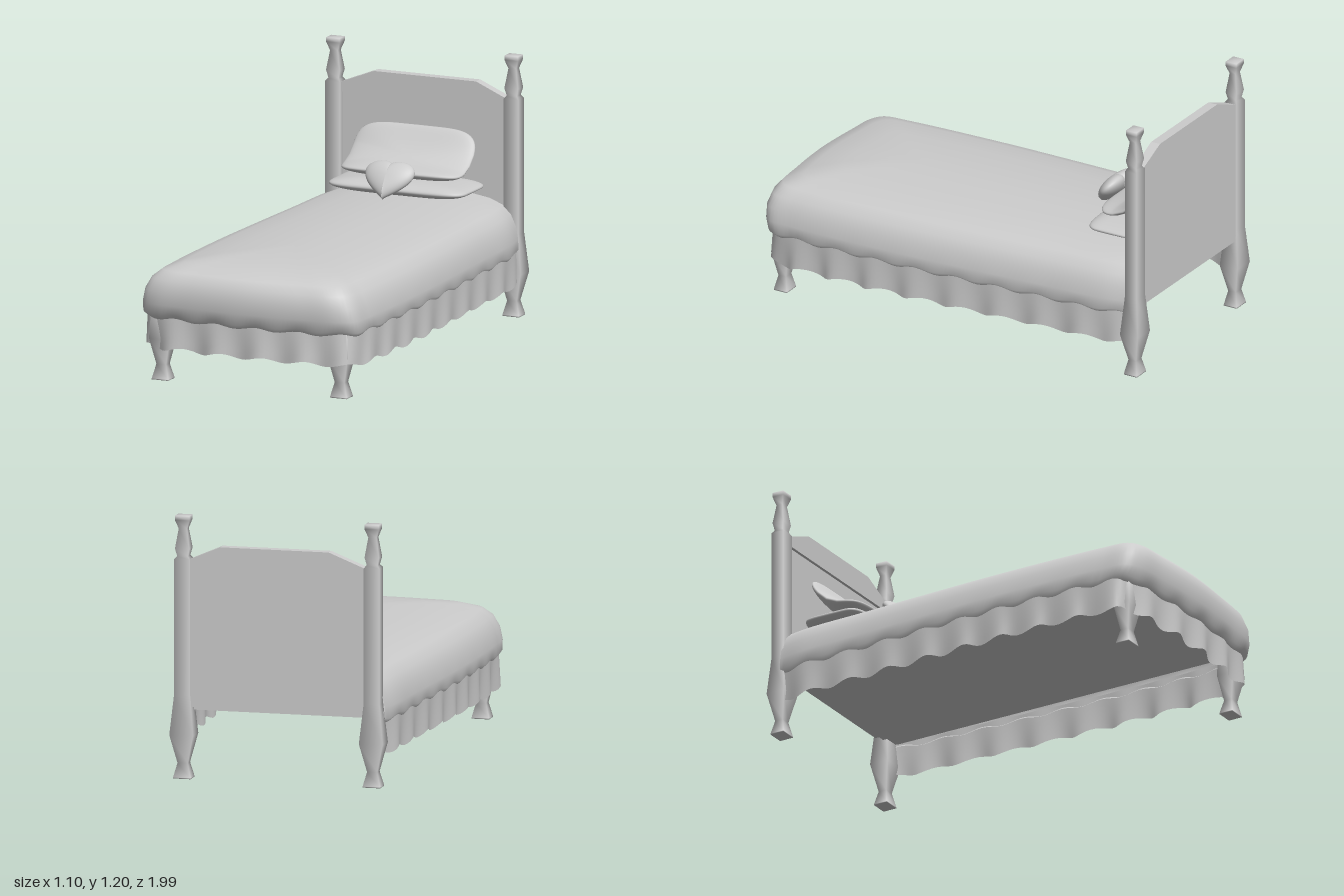
import * as THREE from 'three';
import { mergeVertices } from 'three/addons/utils/BufferGeometryUtils.js';

const BACK = -0.925; // z where the bedding meets the headboard
const grey = new THREE.MeshStandardMaterial({ color: 0xcccccc });
const cloth = new THREE.MeshStandardMaterial({ color: 0xcccccc, side: THREE.DoubleSide });

function part(name, geometry, material = grey) {
  const mesh = new THREE.Mesh(geometry, material);
  mesh.name = name;
  return mesh;
}

// Plan outline of the bed: down the left side, round the foot, up the right side
function bedOutline(count) {
  const half = [[0.485, BACK], [0.508, -0.8], [0.52, -0.5], [0.538, -0.1], [0.55, 0.3],
    [0.542, 0.8], [0.525, 0.93], [0.46, 0.968], [0.3, 0.985]];
  const pts = [...half, [0, 1], ...half.map(([x, z]) => [-x, z]).reverse()];
  const curve = new THREE.CatmullRomCurve3(pts.map(([x, z]) => new THREE.Vector3(x, 0, z)));
  return curve.getSpacedPoints(count);
}

// Cloth draped round the outline; row(j, u) gives [x scale, foot z, height]
function drape(rows, row, count = 240) {
  const outline = bedOutline(count);
  const pos = [], index = [];
  for (let j = 0; j < rows; j++) {
    outline.forEach((p, i) => {
      const [sx, zf, y] = row(j, i / count);
      pos.push(p.x * sx, y, BACK + (p.z - BACK) * (zf - BACK) / (1 - BACK));
    });
  }
  const n = count + 1;
  for (let j = 0; j < rows - 1; j++) {
    for (let i = 0; i < count; i++) {
      const a = j * n + i, b = a + 1, c = a + n, d = c + 1;
      index.push(a, c, b, b, c, d);
    }
  }
  let g = new THREE.BufferGeometry();
  g.setAttribute('position', new THREE.Float32BufferAttribute(pos, 3));
  g.setIndex(index);
  g = mergeVertices(g);
  g.computeVertexNormals();
  return g;
}

// Stuffed cushion lying flat: a sphere pushed out to a plan outline, then optionally bent
function cushion(outline, thickness, bend) {
  let g = new THREE.SphereGeometry(1, 64, 24);
  g.deleteAttribute('uv');
  g.deleteAttribute('normal');
  const p = g.attributes.position;
  const v = new THREE.Vector3();
  for (let i = 0; i < p.count; i++) {
    v.fromBufferAttribute(p, i);
    const r = Math.min(1, Math.hypot(v.x, v.z));
    const [x, z] = outline(Math.atan2(v.x, v.z));
    v.set(x * r, thickness * v.y, z * r);
    if (bend) bend(v);
    p.setXYZ(i, v.x, v.y, v.z);
  }
  g = mergeVertices(g, 1e-5);
  g.computeVertexNormals();
  return g;
}

// Rectangle with soft corners
const softRect = (w, d, power) => (a) => {
  const s = Math.sin(a), c = Math.cos(a), e = 2 / power;
  return [w * Math.sign(s) * Math.abs(s) ** e, d * Math.sign(c) * Math.abs(c) ** e];
};

// Heart with its tip towards +z
const heartOutline = (a) => [
  0.12 * Math.sin(a) ** 3,
  0.0078 * (13 * Math.cos(a) + 3 * Math.cos(2 * a) - 1.5 * Math.cos(3 * a)),
];

// Square turned post from [half width, height] points
function turned(profile) {
  const pts = profile.map(([r, y]) => new THREE.Vector2(r * Math.SQRT2, y));
  const g = new THREE.LatheGeometry(pts, 4, Math.PI / 4);
  g.scale(1.2, 1, 1);
  return g;
}

function extruded(points, z, depth) {
  const shape = new THREE.Shape(points.map(([x, y]) => new THREE.Vector2(x, y)));
  const g = new THREE.ExtrudeGeometry(shape, { depth, bevelEnabled: false });
  g.translate(0, 0, z);
  return g;
}

export function createModel() {
  const bed = new THREE.Group();
  bed.name = 'bed';

  // Front legs and headboard posts
  const foot = [[0, 0], [0.034, 0], [0.034, 0.005], [0.02, 0.07]];
  const legShape = turned([...foot, [0.042, 0.19], [0.036, 0.32], [0, 0.32]]);
  const postShape = turned([...foot, [0.046, 0.2], [0.031, 0.38], [0.031, 1], [0.021, 1.015],
    [0.028, 1.05], [0.016, 1.14], [0.028, 1.18], [0.028, 1.2], [0, 1.2]]);
  for (const [side, label] of [[1, 'left'], [-1, 'right']]) {
    const leg = part(label + 'FrontLeg', legShape);
    leg.position.set(side * 0.442, 0, 0.885);
    const post = part(label + 'HeadboardPost', postShape);
    post.position.set(side * 0.442 + 0.006, 0, -0.946);
    bed.add(leg, post);
  }

  // Headboard: back board with a thicker top rail above the sunken panel
  const crown = [[0.42, 1], [0.27, 1.065], [-0.235, 1.065], [-0.4, 1]];
  bed.add(part('headboardPanel', extruded([[-0.43, 0.33], [0.44, 0.33], ...crown], -0.972, 0.032)));
  bed.add(part('headboardRail', extruded([[-0.4, 0.955], [0.42, 0.955], ...crown], -0.968, 0.042)));

  // Bed base
  const base = part('base', new THREE.BoxGeometry(0.96, 0.03, 1.84));
  base.position.set(0, 0.325, -0.01);
  bed.add(base);

  // Blanket, from the hem up to the centre line
  const blanketRows = [[0.965, 0.965, 0.29], [1, 0.985, 0.31], [0.995, 0.998, 0.36],
    [0.97, 1, 0.42], [0.92, 0.985, 0.472], [0.84, 0.955, 0.508], [0.7, 0.88, 0.535],
    [0.45, 0.75, 0.554], [0.2, 0.6, 0.564], [0, 0.45, 0.567]];
  bed.add(part('blanket', drape(blanketRows.length, (j, u) => {
    const [sx, zf, y] = blanketRows[j];
    return [sx, zf, y + (j < 2 ? 0.006 * Math.sin(u * Math.PI * 46) : 0)];
  }), cloth));

  // Ruffled skirt below the blanket, with folds growing towards the hem
  const skirtRows = 6;
  bed.add(part('skirt', drape(skirtRows, (j, u) => {
    const t = j / (skirtRows - 1); // 0 at the hem, 1 at the top
    const fold = Math.sin(u * Math.PI * 46 + 0.6 * Math.sin(u * 17)) * (1 - 0.8 * t);
    const hem = 0.152 + 0.01 * Math.sin(u * Math.PI * 46 + 1);
    return [0.975 + 0.018 * fold, 0.962 + 0.014 * fold, hem + (0.32 - hem) * t];
  }), cloth));

  // Flat pillow
  const flat = part('flatPillow', cushion(softRect(0.34, 0.155, 6), 0.04));
  flat.position.set(0, 0.6, -0.762);
  bed.add(flat);

  // Upper pillow, curved up against the headboard
  const spine = new THREE.QuadraticBezierCurve(new THREE.Vector2(-0.64, 0.675),
    new THREE.Vector2(-0.82, 0.64), new THREE.Vector2(-0.9, 0.845));
  bed.add(part('leaningPillow', cushion(softRect(0.3, 1, 5), 0.036, (v) => {
    const u = THREE.MathUtils.clamp((1 - v.z) / 2, 0, 1);
    const c = spine.getPoint(u), t = spine.getTangent(u);
    v.set(v.x, c.y - t.x * v.y, c.x + t.y * v.y);
  })));

  // Heart cushion resting on the pillows
  const heart = part('heartCushion', cushion(heartOutline, 0.04));
  heart.position.set(0, 0.67, -0.575);
  heart.rotation.x = 0.85;
  bed.add(heart);

  return bed;
}
